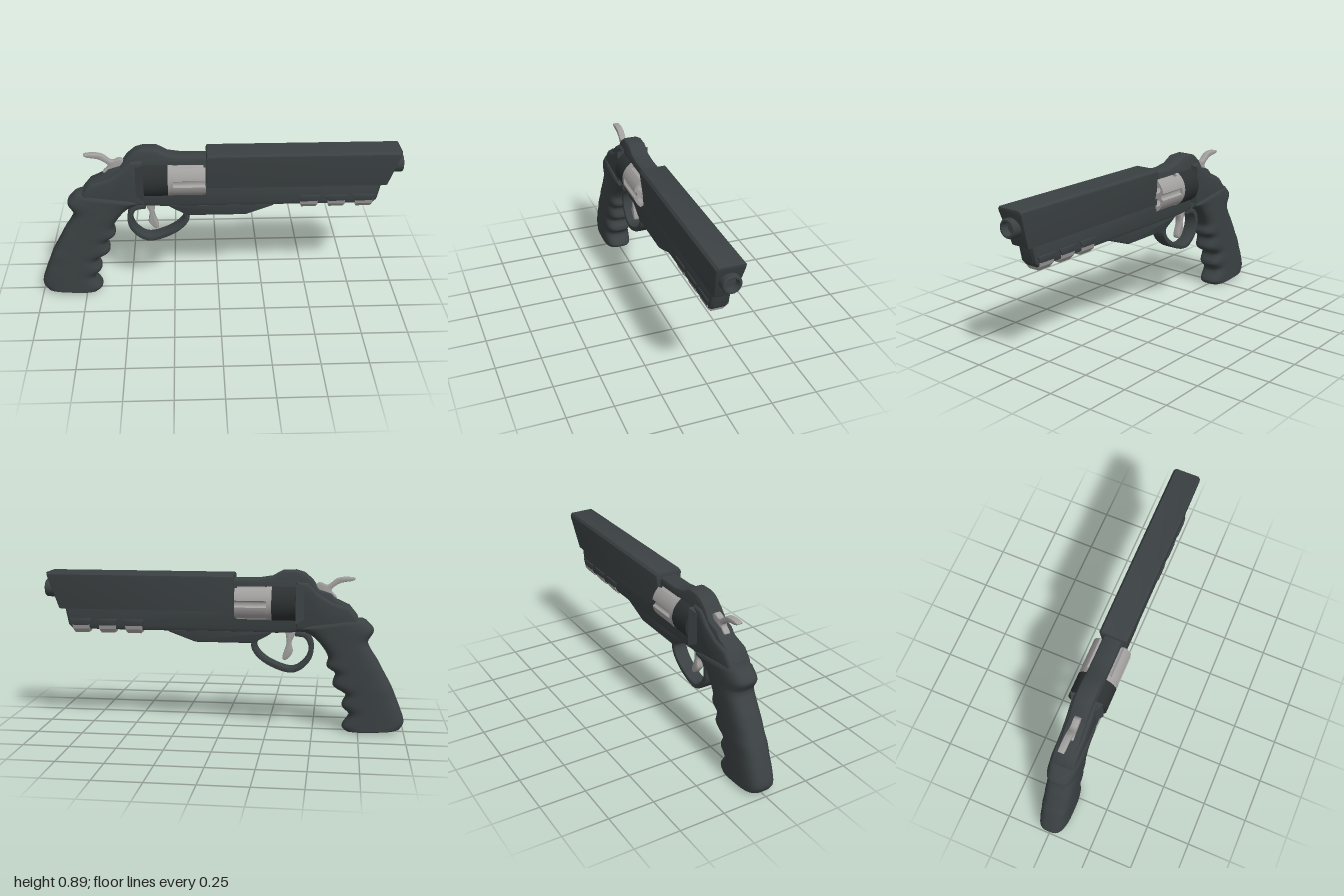
import * as THREE from 'three';
import { toCreasedNormals } from 'three/addons/utils/BufferGeometryUtils.js';

const mat = (name, color) => Object.assign(new THREE.MeshStandardMaterial({ color }), { name });
const vec = (pts) => pts.map(([x, y]) => new THREE.Vector2(x, y));

export function createModel() {
  const model = new THREE.Group();
  const gunmetal = mat('gunmetal', 0x3b4143);
  const black = mat('dark steel', 0x2c3031);
  const steel = mat('bare steel', 0xa3a1a0);

  const add = (name, geo, material) => {
    const mesh = new THREE.Mesh(geo, material);
    mesh.name = name;
    model.add(mesh);
    return mesh;
  };
  const extrude = (shape, length, bevel, segs) => new THREE.ExtrudeGeometry(shape, {
    depth: length - 2 * bevel, bevelEnabled: bevel > 0, bevelThickness: bevel,
    bevelSize: bevel, bevelOffset: -bevel, bevelSegments: segs, curveSegments: 16,
  }).translate(0, 0, bevel);
  // side outline (x, y) given a half thickness in z
  const slab = (shape, half, bevel, segs = 2) =>
    toCreasedNormals(extrude(shape, 2 * half, bevel, segs).translate(0, 0, -half), 0.6);
  // cross-section (z, y) run along x
  const alongX = (shape, x0, x1, bevel = 0) =>
    toCreasedNormals(extrude(shape, x1 - x0, bevel, 2).rotateY(Math.PI / 2).translate(x0, 0, 0), 0.6);
  const poly = (pts) => new THREE.Shape(vec(pts));
  const smooth = (pts, n = 40) => new THREE.Shape(new THREE.CatmullRomCurve3(
    pts.map(([x, y]) => new THREE.Vector3(x, y, 0)), true).getPoints(n).slice(0, -1)
    .map((p) => new THREE.Vector2(p.x, p.y)));

  // frame with a window for the cylinder
  const frame = poly([[-0.74, 0.61], [-0.735, 0.65], [-0.69, 0.705], [-0.62, 0.737], [-0.59, 0.77],
    [-0.525, 0.79], [-0.49, 0.842], [-0.445, 0.88], [-0.4, 0.893], [-0.33, 0.891], [-0.27, 0.858],
    [-0.2, 0.847], [0.05, 0.845], [0.06, 0.7], [0.893, 0.69], [0.87, 0.575], [0.845, 0.55],
    [-0.3, 0.55], [-0.47, 0.56], [-0.6, 0.59]]);
  frame.holes.push(new THREE.Path(vec([[-0.405, 0.605], [-0.405, 0.825], [-0.06, 0.825], [-0.06, 0.605]])));
  add('frame', slab(frame, 0.052, 0.02), gunmetal);

  // thicker rear cheeks and the recoil shield behind the cylinder
  add('rear frame', slab(poly([[-0.745, 0.6], [-0.735, 0.645], [-0.69, 0.698], [-0.6, 0.725], [-0.52, 0.775],
    [-0.47, 0.83], [-0.402, 0.835], [-0.402, 0.565], [-0.58, 0.58]]), 0.066, 0.02, 3), gunmetal);
  const shield = new THREE.BoxGeometry(0.055, 0.215, 0.18).translate(-0.43, 0.715, 0);
  const sp = shield.attributes.position;
  for (let i = 0; i < sp.count; i++) {
    if (sp.getX(i) < -0.43) {
      sp.setZ(i, Math.sign(sp.getZ(i)) * 0.06);
      sp.setY(i, 0.715 + (sp.getY(i) - 0.715) * 0.75);
    }
  }
  shield.computeVertexNormals();
  add('recoil shield', shield, gunmetal);

  // barrel shroud, with its front face sheared back
  const shroud = alongX(poly([[-0.055, 0.665], [0.055, 0.665], [0.078, 0.845], [0.077, 0.858], [0.066, 0.871],
    [-0.066, 0.871], [-0.077, 0.858], [-0.078, 0.845]]), -0.065, 0.985, 0.01);
  const p = shroud.attributes.position;
  for (let i = 0; i < p.count; i++) {
    if (p.getX(i) > 0.5) p.setX(i, p.getX(i) - (0.871 - p.getY(i)) * 0.32);
  }
  add('barrel shroud', toCreasedNormals(shroud, 0.6), gunmetal);

  // muzzle with a bore
  add('muzzle', toCreasedNormals(new THREE.LatheGeometry(
    vec([[0.05, 0.9], [0.05, 0.993], [0.045, 1], [0.036, 1], [0.034, 0.995], [0.034, 0.96], [0, 0.96]]), 32)
    .rotateZ(-Math.PI / 2).translate(0, 0.775, 0), 0.6), gunmetal);

  // cylinder: dark rear, steel band, fluted front with six chambers
  const disc = (r) => new THREE.Shape().absarc(0, 0, r, 0, Math.PI * 2);
  const R = 0.107;
  const outline = [];
  for (let i = 0; i < 144; i++) {
    const a = (i / 144) * Math.PI * 2;
    const d = Math.abs(((i + 12) % 24) - 12) / 4;
    const r = R - (d < 1 ? 0.016 * Math.sqrt(1 - d * d) + 0.003 : 0);
    outline.push([Math.cos(a) * r, Math.sin(a) * r]);
  }
  const fluted = poly(outline);
  for (let i = 0; i < 6; i++) {
    const a = ((i + 0.5) * Math.PI) / 3;
    fluted.holes.push(new THREE.Path().absarc(Math.cos(a) * 0.073, Math.sin(a) * 0.073, 0.021, 0, Math.PI * 2, true));
  }
  const drum = (name, shape, x0, x1, m) => {
    add(name, alongX(shape, x0, x1), m).position.y = 0.715;
  };
  drum('cylinder rear', disc(R), -0.402, -0.272, black);
  drum('cylinder band', disc(R), -0.272, -0.245, steel);
  drum('cylinder front', fluted, -0.245, -0.07, steel);
  drum('cylinder pin', disc(0.025), -0.1, -0.05, black);

  // plate under the frame
  add('lower plate', slab(poly([[-0.28, 0.56], [-0.26, 0.54], [-0.17, 0.49], [0.15, 0.49], [0.3, 0.545], [0.31, 0.56]]),
    0.045, 0.01), gunmetal);

  // accessory rail teeth
  for (const x of [0.495, 0.645, 0.795]) {
    add('rail clamp', slab(poly([[x - 0.062, 0.61], [x - 0.045, 0.573], [x + 0.045, 0.573], [x + 0.062, 0.61]]),
      0.057, 0.004), gunmetal);
    const tooth = alongX(poly([[-0.056, 0.576], [-0.05, 0.553], [-0.032, 0.53], [0.032, 0.53], [0.05, 0.553],
      [0.056, 0.576]]), x - 0.048, x + 0.048);
    const tp = tooth.attributes.position;
    for (let i = 0; i < tp.count; i++) {
      if (tp.getY(i) < 0.54) tp.setX(i, x + (tp.getX(i) - x) * 0.8);
    }
    add('rail tooth', toCreasedNormals(tooth, 0.4), steel);
  }

  // trigger guard: a flat band following a curve
  const guard = new THREE.CatmullRomCurve3([[-0.4, 0.548], [-0.46, 0.535], [-0.487, 0.48], [-0.47, 0.405],
    [-0.395, 0.345], [-0.29, 0.366], [-0.2, 0.425], [-0.172, 0.48], [-0.2, 0.535]]
    .map(([x, y]) => new THREE.Vector3(x, y, 0)));
  const outer = [], inner = [];
  for (let i = 0; i <= 40; i++) {
    const c = guard.getPoint(i / 40), t = guard.getTangent(i / 40);
    outer.push([c.x + t.y * 0.014, c.y - t.x * 0.014]);
    inner.unshift([c.x - t.y * 0.014, c.y + t.x * 0.014]);
  }
  add('trigger guard', slab(poly([...outer, ...inner]), 0.04, 0.006), gunmetal);

  // trigger and hammer
  add('trigger', slab(smooth([[-0.4, 0.56], [-0.35, 0.56], [-0.352, 0.49], [-0.33, 0.405], [-0.345, 0.395],
    [-0.385, 0.44], [-0.378, 0.49]]), 0.02, 0.008), steel);
  add('hammer', slab(smooth([[-0.72, 0.852], [-0.67, 0.859], [-0.62, 0.85], [-0.57, 0.815], [-0.525, 0.828],
    [-0.5, 0.795], [-0.55, 0.755], [-0.62, 0.75], [-0.59, 0.787], [-0.635, 0.825], [-0.71, 0.842]], 60),
  0.018, 0.005), steel);

  // grip: rounded sections lofted between the back line and the finger-grooved front line
  const line = (pts) => new THREE.CatmullRomCurve3(pts.map(([x, y]) => new THREE.Vector3(x, y, 0)));
  const back = line([[-0.975, 0.02], [-1, 0.065], [-0.975, 0.15], [-0.953, 0.205], [-0.93, 0.26], [-0.903, 0.31],
    [-0.875, 0.36], [-0.848, 0.41], [-0.815, 0.46], [-0.795, 0.51], [-0.825, 0.575], [-0.785, 0.625]]);
  const front = line([[-0.69, 0.005], [-0.663, 0.03], [-0.7, 0.1], [-0.66, 0.15], [-0.68, 0.21], [-0.608, 0.265],
    [-0.62, 0.33], [-0.573, 0.37], [-0.58, 0.42], [-0.53, 0.5], [-0.475, 0.545], [-0.4, 0.572]]);
  const N = 40, ROWS = 66, verts = [], index = [];
  const rows = [[0, 0], [0, 0.88]];
  for (let i = 1; i <= ROWS; i++) rows.push([i / ROWS, 1]);
  rows.push([1, 0.9], [1, 0]);
  const soft = (v) => Math.sign(v) * Math.pow(Math.abs(v), 0.62);
  rows.forEach(([t, s], r) => {
    const b = back.getPoint(t), f = front.getPoint(t);
    const bulge = r > ROWS + 1 ? 0.012 : 0;
    for (let j = 0; j < N; j++) {
      const a = (j / N) * Math.PI * 2, u = 0.5 + 0.5 * s * soft(Math.cos(a));
      verts.push(b.x + (f.x - b.x) * u, b.y + (f.y - b.y) * u + bulge, 0.08 * s * soft(Math.sin(a)));
      if (r < rows.length - 1) {
        const p0 = r * N + j, p1 = r * N + ((j + 1) % N);
        index.push(p0, p0 + N, p1, p1, p0 + N, p1 + N);
      }
    }
  });
  const grip = new THREE.BufferGeometry();
  grip.setAttribute('position', new THREE.Float32BufferAttribute(verts, 3));
  grip.setIndex(index);
  add('grip', toCreasedNormals(grip, 0.9), gunmetal);

  return model;
}
